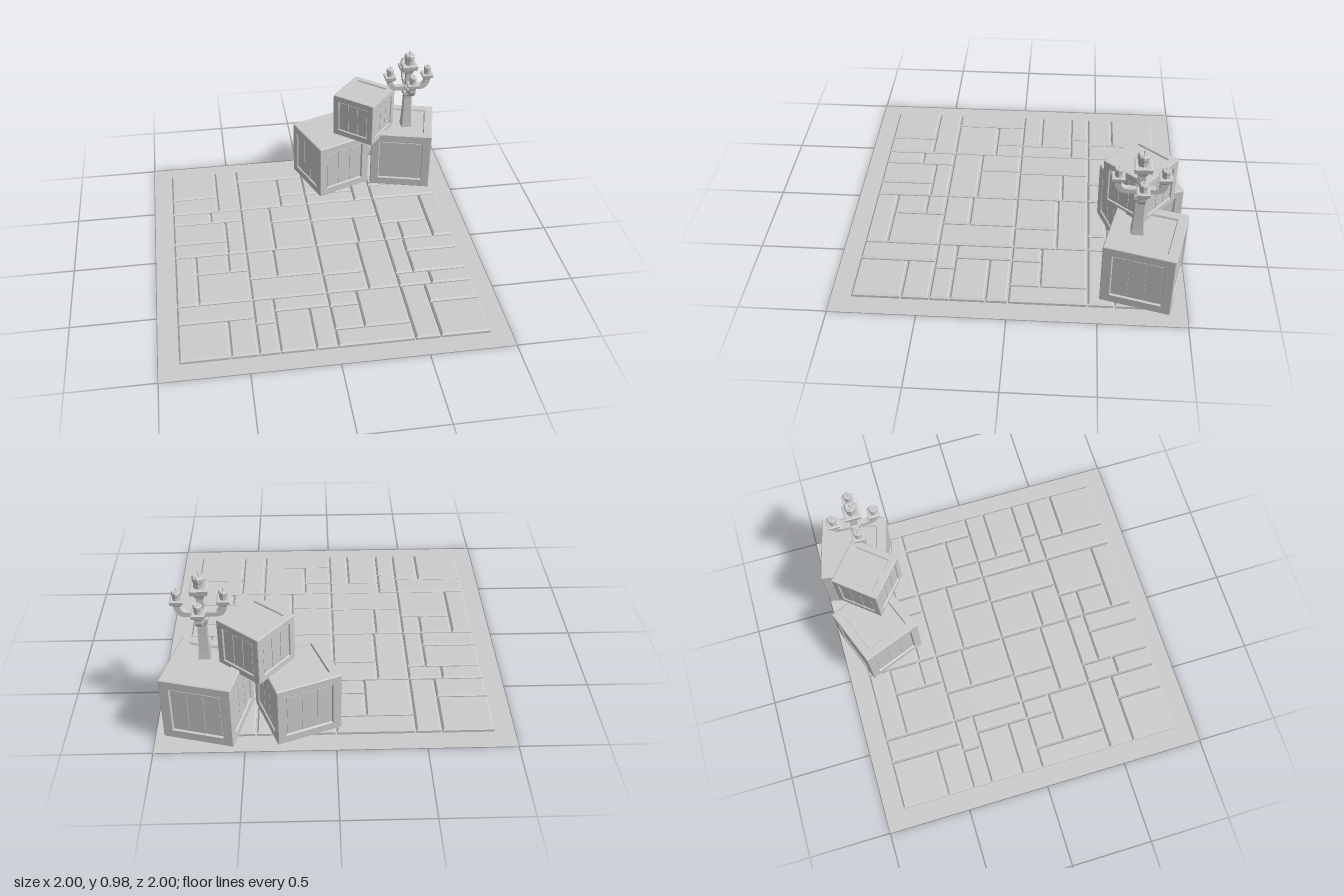
import * as THREE from 'three';

const material = new THREE.MeshStandardMaterial({ color: 0xcccccc, flatShading: true });

function part(name, geometry, parent, x = 0, y = 0, z = 0) {
  const flat = geometry.index ? geometry.toNonIndexed() : geometry;
  flat.computeVertexNormals();
  const mesh = new THREE.Mesh(flat, material);
  mesh.name = name;
  mesh.position.set(x, y, z);
  parent.add(mesh);
  return mesh;
}

function group(name, parent) {
  const g = new THREE.Group();
  g.name = name;
  if (parent) parent.add(g);
  return g;
}

// Square turned shape: profile of [half width, height], listed bottom to top
function squareLathe(profile) {
  const points = profile.map(([r, y]) => new THREE.Vector2(r * Math.SQRT2, y));
  return new THREE.LatheGeometry(points, 4).rotateY(Math.PI / 4);
}

// Paving stone with chamfered top edges
function stoneGeometry(w, d) {
  const h = 0.027, bevel = 0.01;
  const g = new THREE.BoxGeometry(w, h, d, 1, 2, 1);
  const p = g.attributes.position;
  for (let i = 0; i < p.count; i++) {
    const x = p.getX(i), y = p.getY(i), z = p.getZ(i);
    if (y > 0.001) p.setXYZ(i, x - Math.sign(x) * bevel, h, z - Math.sign(z) * bevel);
    else p.setY(i, y < -0.001 ? 0.002 : h - bevel);
  }
  return g;
}

// Tiles are cut recursively: [axis, fraction, first part, second part]; 0 is one stone
const TILES = [
  [
    ['x', 0.29, 0, ['z', 0.39, ['x', 0.63, 0, 0], 0]],
    ['z', 0.58, ['x', 0.38, 0, 0], 0],
    ['x', 0.58, ['z', 0.63, 0, 0], 0],
    ['z', 0.74, ['x', 0.25, 0, ['z', 0.39, 0, 0]], ['x', 0.45, 0, 0]],
  ],
  [
    ['z', 0.34, 0, ['x', 0.65, 0, 0]],
    ['x', 0.27, ['z', 0.46, 0, 0], ['z', 0.25, 0, ['x', 0.62, 0, 0]]],
    ['z', 0.7, ['x', 0.39, ['z', 0.38, 0, 0], 0], 0],
    ['x', 0.33, 0, ['z', 0.36, 0, 0]],
  ],
];

function buildPaving(root) {
  const paving = group('paving', root);
  const tile = 0.4435, gap = 0.008;
  const lay = (cut, x0, z0, x1, z1) => {
    if (!cut) {
      const geometry = stoneGeometry(x1 - x0 - gap, z1 - z0 - gap);
      const x = (x0 + x1) / 2, z = (z0 + z1) / 2;
      // the other half of the floor repeats the pattern turned by 180 degrees
      part('pavingStone', geometry, paving, x, 0, z);
      part('pavingStone', geometry, paving, -x, 0, -z);
      return;
    }
    const [axis, t, a, b] = cut;
    if (axis === 'x') {
      const m = x0 + (x1 - x0) * t;
      lay(a, x0, z0, m, z1);
      lay(b, m, z0, x1, z1);
    } else {
      const m = z0 + (z1 - z0) * t;
      lay(a, x0, z0, x1, m);
      lay(b, x0, m, x1, z1);
    }
  };
  TILES.forEach((row, r) => row.forEach((cut, c) => {
    const x = (c - 2) * tile, z = r * tile;
    lay(cut, x, z, x + tile, z + tile);
  }));
}

// Crate: six framed faces with sunken panels, upright planks on the sides
function buildCrate(root, size, x, y, z, turn) {
  const crate = group('crate', root);
  const s = size / 2, c = size * 0.012, inner = size * 0.365, depth = size * 0.03;
  const face = squareLathe([
    [s - c / 2, s - c / 2], [s - c, s], [inner, s],
    [inner - depth * 0.4, s - depth], [0, s - depth],
  ]);
  const tilts = [[0, 0], [Math.PI, 0], ...[0, 1, 2, 3].map((i) => [Math.PI / 2, i * Math.PI / 2])];
  tilts.forEach(([tilt, spin], i) => {
    const side = group(i === 0 ? 'lid' : i === 1 ? 'bottom' : 'side', crate);
    side.rotation.set(tilt, spin, 0, 'YXZ');
    part('frame', face, side);
    if (i < 2) return;
    const pitch = (inner - depth * 0.6) * 2 / 3;
    const plank = new THREE.BoxGeometry(pitch * 0.95, depth * 0.5, pitch * 2.95);
    for (const k of [-1, 0, 1]) part('plank', plank, side, k * pitch, s - depth * 0.85, 0);
  });
  crate.position.set(x, y + s, z);
  crate.rotation.y = turn;
}

// Cup with a candle and wick, standing at the given height
function buildCandle(parent, scale, x, y, z) {
  const candle = group('candleHolder', parent);
  part('cup', squareLathe([
    [0, 0], [0.018, 0], [0.022, 0.012], [0.035, 0.02], [0.038, 0.042], [0.03, 0.045], [0, 0.04],
  ]), candle);
  part('candle', new THREE.LatheGeometry([
    [0.022, 0.035], [0.022, 0.065], [0.025, 0.072], [0.026, 0.09], [0.02, 0.097], [0, 0.094],
  ].map(([r, h]) => new THREE.Vector2(r, h)), 8), candle);
  part('wick', new THREE.CylinderGeometry(0.002, 0.003, 0.022, 5), candle, 0, 0.103, 0);
  candle.scale.setScalar(scale);
  candle.position.set(x, y, z);
}

function buildCandelabra(root, x, y, z) {
  const stand = group('candelabra', root);
  stand.position.set(x, y, z);
  part('column', squareLathe([
    [0, 0], [0.034, 0], [0.03, 0.04], [0.026, 0.12], [0.024, 0.22], [0.027, 0.24],
    [0.036, 0.25], [0.036, 0.272], [0.028, 0.278], [0.028, 0.308], [0.019, 0.315],
    [0.018, 0.39], [0.022, 0.41], [0, 0.41],
  ]), stand);

  // Four arms bent upward, each carrying a candle
  const outline = [
    [0, 0.277], [0.09, 0.277], [0.118, 0.29], [0.138, 0.32], [0.139, 0.35],
    [0.107, 0.35], [0.105, 0.328], [0.092, 0.312], [0.078, 0.305], [0, 0.305],
  ].map(([u, v]) => new THREE.Vector2(u, v));
  const armShape = new THREE.ExtrudeGeometry(new THREE.Shape(outline), { depth: 0.034, bevelEnabled: false });
  armShape.translate(0, 0, -0.017);
  for (let i = 0; i < 4; i++) {
    const arm = group('arm', stand);
    arm.rotation.y = i * Math.PI / 2;
    part('branch', armShape, arm);
    buildCandle(arm, 0.94, 0.123, 0.343, 0);
  }
  buildCandle(stand, 1.3, 0, 0.405, 0);
}

export function createModel() {
  const root = group('courtyardCorner');
  const ground = part('ground', new THREE.PlaneGeometry(2, 2).rotateX(-Math.PI / 2), root);
  ground.material = material.clone();
  ground.material.side = THREE.DoubleSide;
  buildPaving(root);
  buildCrate(root, 0.375, 0.21, 0.03, -0.745, 0.37);
  buildCrate(root, 0.4, 0.704, 0.03, -0.754, -0.25);
  buildCrate(root, 0.295, 0.425, 0.405, -0.715, -0.695);
  buildCandelabra(root, 0.71, 0.43, -0.698);
  return root;
}
